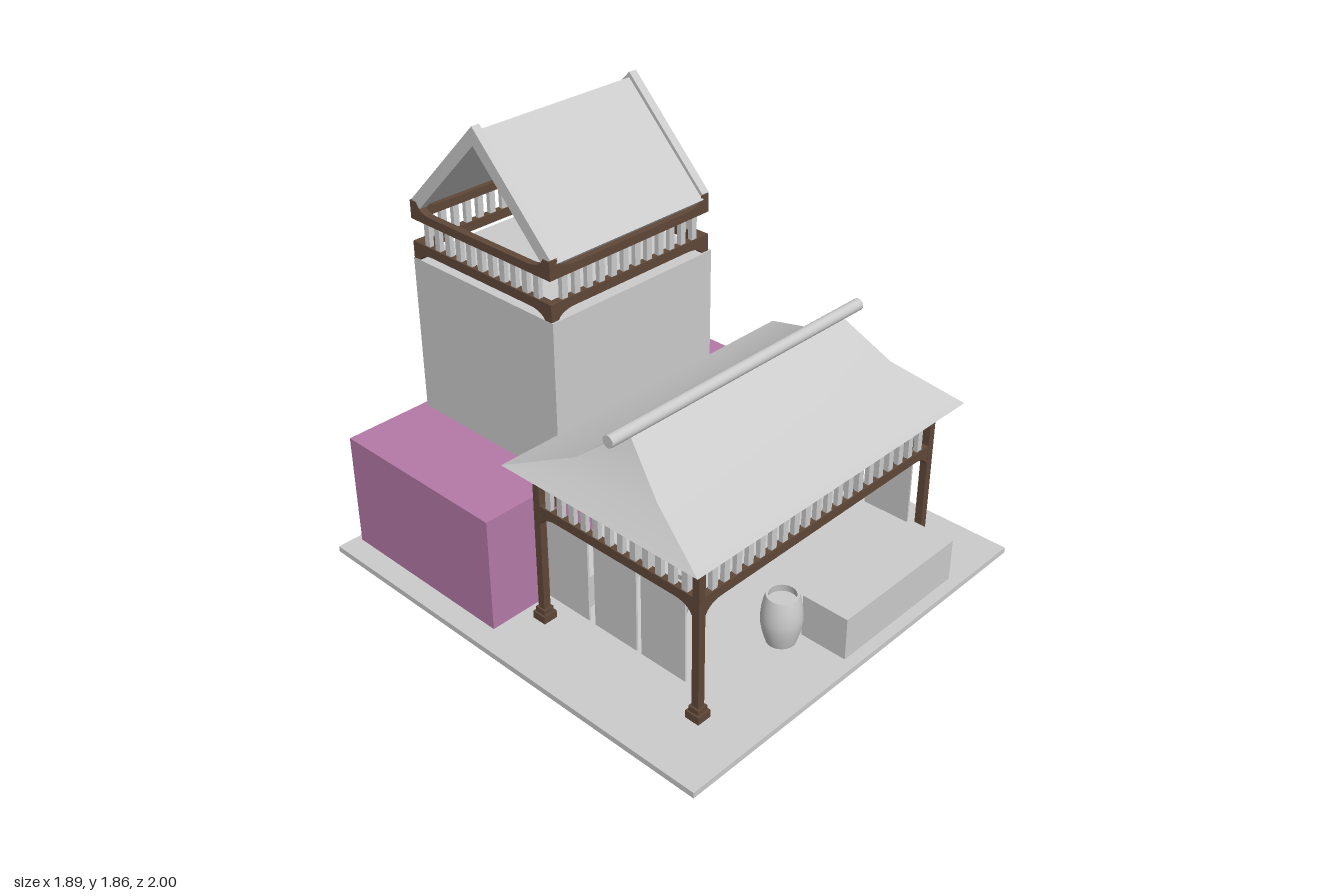
import * as THREE from 'three';
import { toCreasedNormals } from 'three/addons/utils/BufferGeometryUtils.js';

const stone = new THREE.MeshStandardMaterial({ color: 0xcccccc, side: THREE.DoubleSide });
const plum = new THREE.MeshStandardMaterial({ color: 0xb57aa8 });
const wood = new THREE.MeshStandardMaterial({ color: 0x604838 });

function add(parent, name, geometry, material) {
  const mesh = new THREE.Mesh(geometry, material);
  mesh.name = name;
  parent.add(mesh);
  return mesh;
}

// Box given by its limits on each axis
function block(parent, name, material, [x0, x1], [y0, y1], [z0, z1]) {
  const mesh = add(parent, name, new THREE.BoxGeometry(x1 - x0, y1 - y0, z1 - z0), material);
  mesh.position.set((x0 + x1) / 2, (y0 + y1) / 2, (z0 + z1) / 2);
  return mesh;
}

// Straight beam whose ends flare by a curve; dir -1 flares down, +1 flares up
function beamGeometry(length, height, flare, dir, thickness = 0.03) {
  const h = length / 2, edge = dir * height, tip = dir * (height + flare);
  const s = new THREE.Shape();
  s.moveTo(-h, 0);
  s.lineTo(h, 0);
  s.lineTo(h, tip);
  s.lineTo(h - 0.035, tip);
  s.quadraticCurveTo(h - 0.055, edge, h - 0.12, edge);
  s.lineTo(-h + 0.12, edge);
  s.quadraticCurveTo(-h + 0.055, edge, -h + 0.035, tip);
  s.lineTo(-h, tip);
  s.closePath();
  return new THREE.ExtrudeGeometry(s, { depth: thickness, bevelEnabled: false, curveSegments: 6 })
    .translate(0, 0, -thickness / 2);
}

// Four-sided railing: flared lower and upper beams with balusters between
function railing(parent, name, [x0, x1], [z0, z1], low, high, flareLow, flareHigh) {
  const group = new THREE.Group();
  group.name = name;
  parent.add(group);
  const cx = (x0 + x1) / 2, cz = (z0 + z1) / 2, inset = 0.015;
  const sides = [
    [cx, z1 - inset, x1 - x0, 0], [cx, z0 + inset, x1 - x0, 0],
    [x0 + inset, cz, z1 - z0, Math.PI / 2], [x1 - inset, cz, z1 - z0, Math.PI / 2],
  ];
  for (const [x, z, length, turn] of sides) {
    const side = new THREE.Group();
    side.name = 'railingSide';
    side.position.set(x, 0, z);
    side.rotation.y = turn;
    group.add(side);
    add(side, 'lowerBeam', beamGeometry(length, 0.04, flareLow, -1), wood).position.y = low;
    add(side, 'upperBeam', beamGeometry(length, 0.035, flareHigh, 1), wood).position.y = high;
    const count = Math.round((length - 0.1) / 0.0625);
    for (let i = 0; i < count; i++) {
      const u = (i + 0.5 - count / 2) * 0.0625;
      block(side, 'baluster', stone, [u - 0.014, u + 0.014], [low, high], [-0.01, 0.01]);
    }
  }
}

// Upside-down V roof section, extruded along x
function gable(parent, name, [x0, x1], z, apex, half, drop, t) {
  const s = new THREE.Shape([
    [0, apex], [-half, apex - drop], [-half + t / 2, apex - drop - t / 2],
    [0, apex - t], [half - t / 2, apex - drop - t / 2], [half, apex - drop],
  ].map(([u, v]) => new THREE.Vector2(u, v)));
  const g = new THREE.ExtrudeGeometry(s, { depth: x1 - x0, bevelEnabled: false });
  const mesh = add(parent, name, g.rotateY(Math.PI / 2), stone);
  mesh.position.set(x0, 0, z);
}

// Hipped roof built from rectangular levels [y, x0, x1, z0, z1]
function hipRoof(levels) {
  const rings = levels.map(([y, x0, x1, z0, z1]) =>
    [[x0, y, z1], [x1, y, z1], [x1, y, z0], [x0, y, z0]]);
  const p = [];
  const quad = (a, b, c, d) => p.push(...a, ...b, ...c, ...a, ...c, ...d);
  for (let i = 0; i + 1 < rings.length; i++) {
    for (let k = 0; k < 4; k++) {
      const n = (k + 1) % 4;
      quad(rings[i][k], rings[i][n], rings[i + 1][n], rings[i + 1][k]);
    }
  }
  const [a, b, c, d] = rings[0];
  quad(d, c, b, a);
  const g = new THREE.BufferGeometry();
  g.setAttribute('position', new THREE.Float32BufferAttribute(p, 3));
  return toCreasedNormals(g, 0.5);
}

// Barrel with bulging sides and a hollow top
function barrel(parent, x, z, y, radius, height) {
  const outer = [[0, 0], [0.72, 0], [0.88, 0.2], [0.98, 0.4], [1, 0.52], [0.96, 0.7], [0.87, 0.88], [0.78, 1]];
  const inner = [[0.66, 1], [0.72, 0.85], [0, 0.85]];
  const points = [...outer, ...inner].map(([r, v]) => new THREE.Vector2(r * radius, v * height));
  const g = toCreasedNormals(new THREE.LatheGeometry(points, 24), 0.6);
  add(parent, 'barrel', g, stone).position.set(x, y, z);
}

export function createModel() {
  const model = new THREE.Group();
  model.name = 'house';

  // Ground slab, main building and tower
  block(model, 'groundSlab', stone, [-0.945, 0.945], [0, 0.025], [-1, 1]);
  block(model, 'mainBuilding', plum, [-0.85, 0.75], [0.025, 0.525], [-0.97, -0.135]);
  block(model, 'tower', stone, [-0.475, 0.375], [0.525, 1.207], [-0.945, -0.142]);
  railing(model, 'towerRailing', [-0.475, 0.363], [-0.94, -0.148], 1.28, 1.376, 0.032, 0.043);

  // Tower roof with a raised bargeboard on each open gable
  gable(model, 'towerRoof', [-0.44, 0.33], -0.538, 1.838, 0.395, 0.4, 0.035);
  gable(model, 'bargeboard', [-0.472, -0.435], -0.538, 1.86, 0.392, 0.4, 0.075);
  gable(model, 'bargeboard', [0.325, 0.362], -0.538, 1.86, 0.392, 0.4, 0.075);

  // Porch posts with stepped feet
  for (const x of [-0.665, 0.662]) {
    for (const z of [0.76, -0.045]) {
      block(model, 'porchPost', wood, [x - 0.016, x + 0.016], [0.025, 0.735], [z - 0.016, z + 0.016]);
      block(model, 'postFoot', wood, [x - 0.032, x + 0.032], [0.025, 0.058], [z - 0.032, z + 0.032]);
      block(model, 'postFootStep', wood, [x - 0.024, x + 0.024], [0.058, 0.08], [z - 0.024, z + 0.024]);
    }
    // Hanging side panels
    for (const z of [0.592, 0.352, 0.103]) {
      block(model, 'sidePanel', stone, [x - 0.004, x + 0.004], [0.155, 0.525], [z - 0.108, z + 0.108]);
    }
  }
  railing(model, 'porchRailing', [-0.68, 0.677], [-0.06, 0.775], 0.565, 0.66, 0.04, 0.04);

  // Porch roof and ridge pole
  add(model, 'porchRoof', hipRoof([
    [0.735, -0.76, 0.77, -0.138, 0.84],
    [0.852, -0.655, 0.665, 0.152, 0.553],
    [1.01, -0.583, 0.595, 0.35, 0.35],
  ]), stone);
  const pole = add(model, 'ridgePole', new THREE.CylinderGeometry(0.025, 0.025, 1.39, 16), stone);
  pole.rotation.z = Math.PI / 2;
  pole.position.set(0.01, 1.018, 0.35);

  // Counter, back bench and wall board
  block(model, 'counter', stone, [-0.06, 0.615], [0.025, 0.212], [0.74, 0.95]);
  block(model, 'backBench', stone, [-0.545, 0.61], [0.07, 0.215], [-0.14, 0.08]);
  block(model, 'wallBoard', stone, [-0.13, 0.265], [0.235, 0.46], [-0.14, -0.125]);

  // Barrels
  barrel(model, -0.468, 0.14, 0.027, 0.07, 0.172);
  barrel(model, -0.323, 0.31, 0.027, 0.07, 0.172);
  barrel(model, -0.14, 0.705, 0.03, 0.083, 0.217);
  return model;
}
